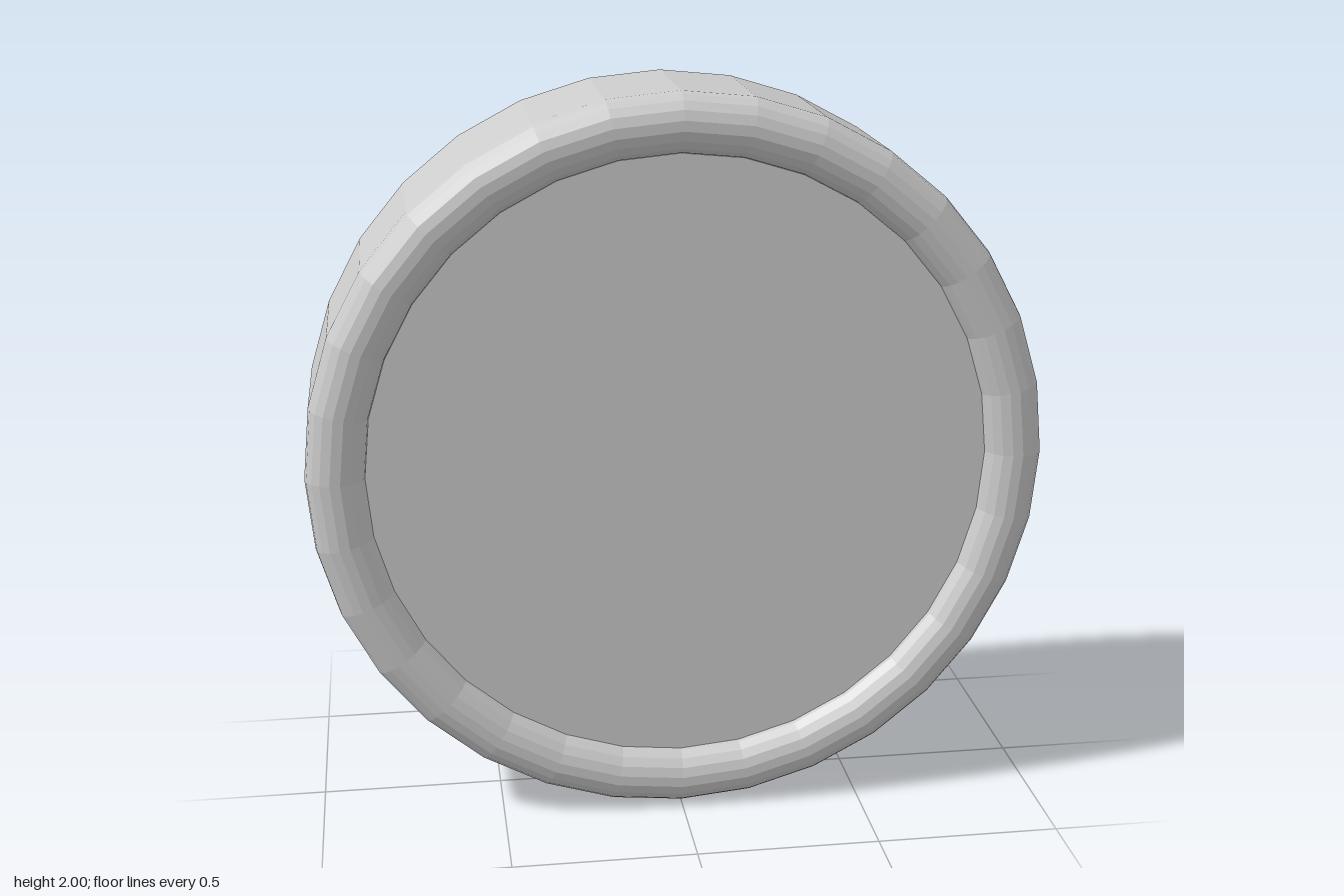
import * as THREE from 'three';

const SIDES = 32;

export function createModel() {
  const model = new THREE.Group();
  model.name = 'roundCap';
  const material = new THREE.MeshStandardMaterial({
    color: 0xcccccc, flatShading: true, side: THREE.DoubleSide,
  });

  // Thin outer wall, open at the back, rolling over into a rounded front rim
  const profile = [new THREE.Vector2(1, -0.24)];
  const steps = 9;
  for (let i = 0; i <= steps; i++) {
    const a = (i / steps) * Math.PI;
    profile.push(new THREE.Vector2(0.92 + 0.08 * Math.cos(a), 0.165 + 0.075 * Math.sin(a)));
  }
  const shell = new THREE.Mesh(new THREE.LatheGeometry(profile, SIDES), material);
  shell.name = 'shellAndRim';

  // Thick face plate set inside the rim, its back halfway down the shell
  const front = 0.18, back = 0;
  const plate = new THREE.Mesh(
    new THREE.CylinderGeometry(0.842, 0.842, front - back, SIDES), material);
  plate.name = 'facePlate';
  plate.position.y = (front + back) / 2;

  // Turn the axis to face the front and stand the cap on its edge
  const body = new THREE.Group();
  body.name = 'capBody';
  body.add(shell, plate);
  body.rotation.x = Math.PI / 2;
  body.position.y = 1;
  model.add(body);
  return model;
}
